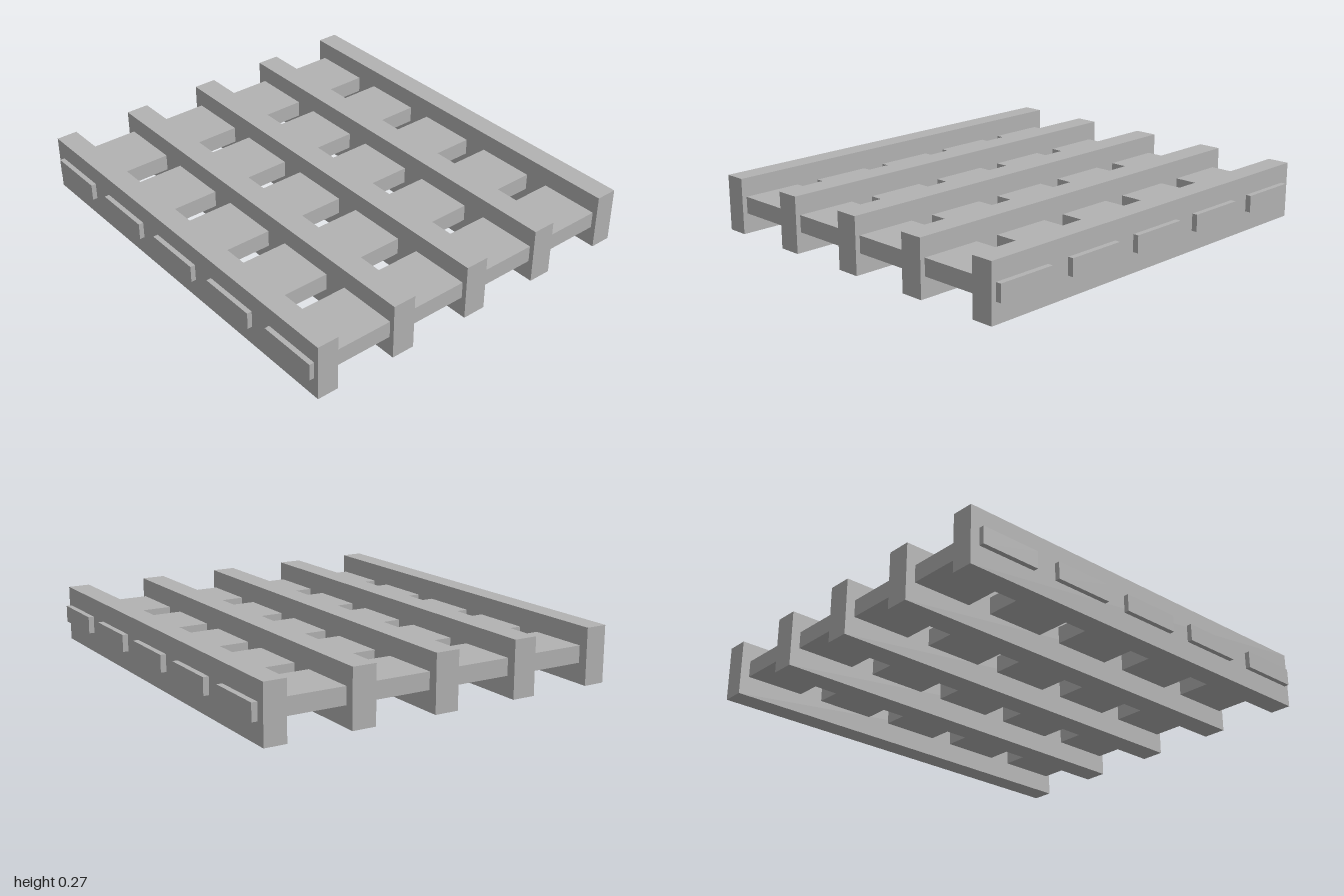
import * as THREE from 'three';

export function createModel() {
  const group = new THREE.Group();
  const grey = new THREE.MeshStandardMaterial({ color: 0xb2b2b2 });
  grey.name = 'plain grey';

  const addBox = (name, size, position) => {
    const mesh = new THREE.Mesh(new THREE.BoxGeometry(...size), grey);
    mesh.name = name;
    mesh.position.set(...position);
    group.add(mesh);
  };

  // Tall beams running front to back: [centre x, width]
  const beams = [[-0.818, 0.103], [-0.416, 0.113], [-0.005, 0.115], [0.404, 0.113], [0.812, 0.105]];
  beams.forEach(([x, width], i) => addBox(`beam${i + 1}`, [width, 0.266, 2], [x, 0.133, 0]));

  // Flat slats passing through the beams from side to side
  for (let i = 0; i < 5; i++) {
    addBox(`slat${i + 1}`, [1.784, 0.08, 0.291], [-0.001, 0.136, -0.809 + i * 0.41]);
  }

  return group;
}
